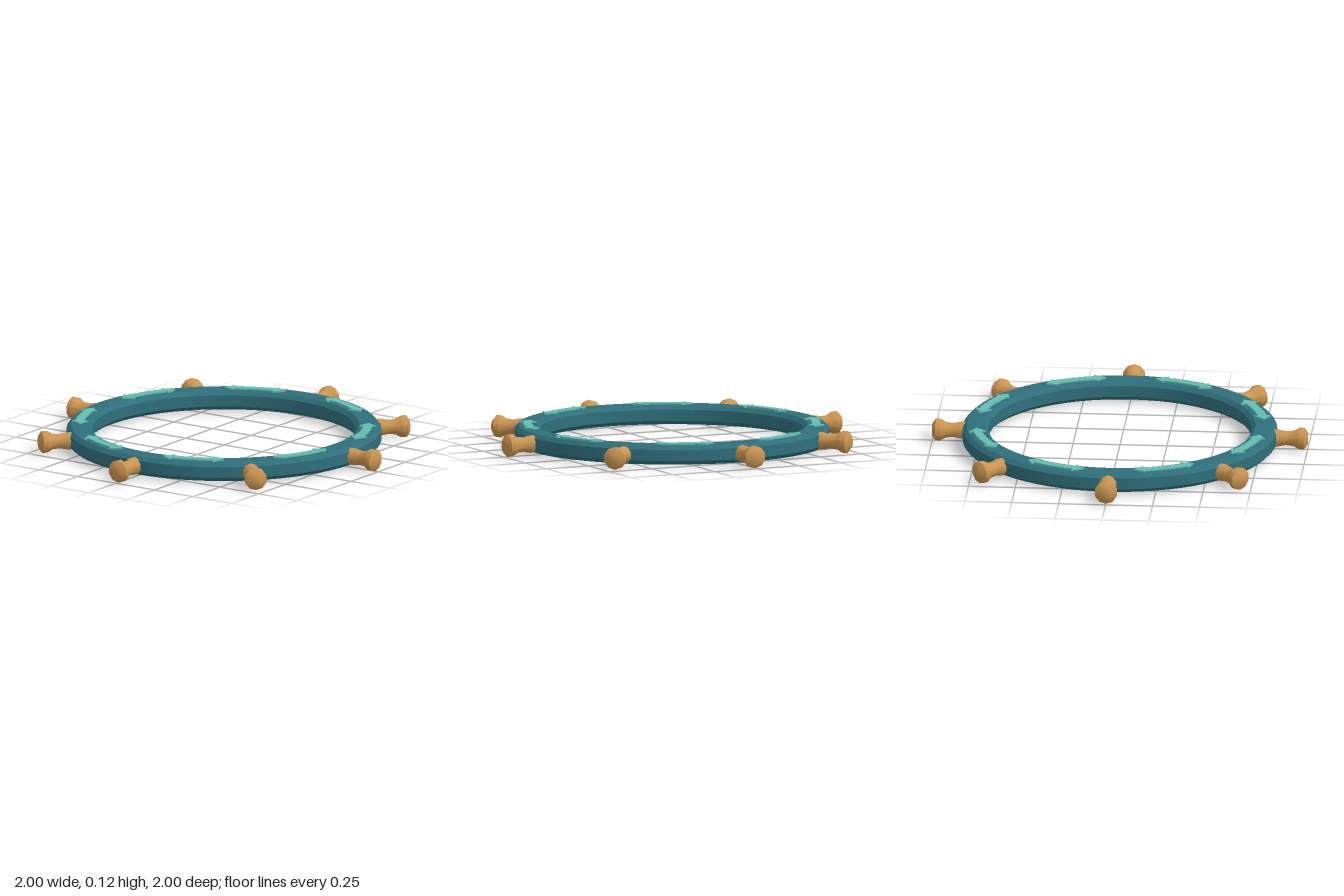
import * as THREE from 'three';
import { toCreasedNormals } from 'three/addons/utils/BufferGeometryUtils.js';

const COUNT = 8;
const MID_Y = 0.06;
const TOP_Y = 0.113;

const paint = (name, color) => {
  const m = new THREE.MeshStandardMaterial({ color });
  m.name = name;
  return m;
};

// Lathe a profile of [radius, height] pairs, keeping sharp edges sharp
function turned(profile, segments, crease) {
  const points = profile.map(([r, y]) => new THREE.Vector2(r, y));
  return toCreasedNormals(new THREE.LatheGeometry(points, segments), crease);
}

// Curved double-headed arrow centred on angle 0, lying flat
function arrowGeometry() {
  const deg = Math.PI / 180;
  const mid = 0.767, shaft = 0.023, head = 0.046, tip = 12.6, base = 8.3;
  const at = (r, a) => new THREE.Vector2(r * Math.cos(a * deg), r * Math.sin(a * deg));
  const points = [at(mid, -tip), at(mid + head, -base)];
  for (let i = 0; i <= 6; i++) points.push(at(mid + shaft, -base + (i / 6) * 2 * base));
  points.push(at(mid + head, base), at(mid, tip), at(mid - head, base));
  for (let i = 0; i <= 6; i++) points.push(at(mid - shaft, base - (i / 6) * 2 * base));
  points.push(at(mid - head, -base));
  const geometry = new THREE.ExtrudeGeometry(new THREE.Shape(points), {
    depth: 0.008, bevelEnabled: false,
  });
  return geometry.rotateX(-Math.PI / 2);
}

export function createModel() {
  const teal = paint('deepTeal', 0x2f6f7b);
  const aqua = paint('paleAqua', 0x62bdb1);
  const wood = paint('warmWood', 0xca9450);

  const model = new THREE.Group();
  model.name = 'handWheel';

  // Chamfered rim
  const rim = new THREE.Mesh(turned([
    [0.72, 0.011], [0.815, 0.011], [0.836, 0.032], [0.836, 0.092],
    [0.815, TOP_Y], [0.72, TOP_Y], [0.699, 0.092], [0.699, 0.032], [0.72, 0.011],
  ], 64, 0.5), teal);
  rim.name = 'rim';
  model.add(rim);

  // Turned grips pointing outwards
  const gripGeometry = turned([
    [0, 0.81], [0.047, 0.81], [0.047, 0.845], [0.039, 0.885], [0.043, 0.925],
    [0.06, 0.955], [0.06, 0.982], [0.034, 1], [0, 1],
  ], 10, 0.7).rotateX(Math.PI / 2);
  const arrows = arrowGeometry();

  for (let i = 0; i < COUNT; i++) {
    const angle = (i / COUNT) * Math.PI * 2;
    const grip = new THREE.Mesh(gripGeometry, wood);
    grip.name = 'grip';
    grip.position.y = MID_Y;
    grip.rotation.y = angle;
    model.add(grip);

    // Painted arrow between neighbouring grips
    const arrow = new THREE.Mesh(arrows, aqua);
    arrow.name = 'turnArrow';
    arrow.position.y = TOP_Y;
    arrow.rotation.y = angle + Math.PI / COUNT;
    model.add(arrow);
  }
  return model;
}
